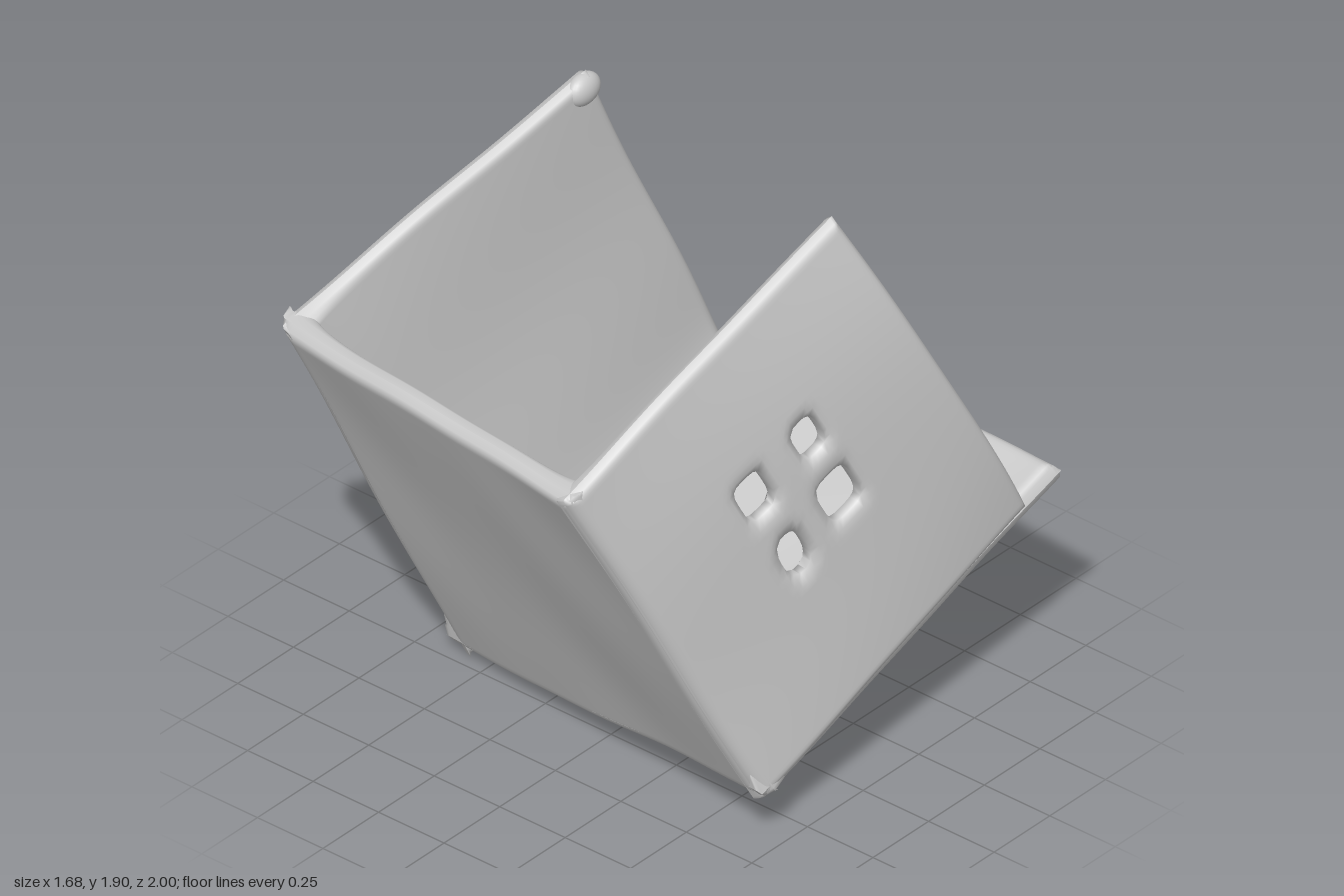
import * as THREE from 'three';

const N = 70; // grid cells along each panel side
const V = (a) => new THREE.Vector3(...a);

// Grid spacing that is finer towards the panel rims
const ease = (t) => 0.45 * t + 0.55 * (1 - Math.cos(Math.PI * t)) / 2;

// Gentle hand-made unevenness, the same for every panel so the joints agree
function wobble(p) {
  const { x, y, z } = p;
  p.x += 0.004 * Math.sin(5 * y + 4 * z);
  p.y += 0.004 * Math.sin(6 * x - 5 * z + 1) + 0.002 * Math.sin(13 * z + 11 * x);
  p.z += 0.004 * Math.sin(5 * x + 6 * y + 2);
  return p;
}

// Distance measure to a soft-cornered hole: 1 on its rim
function holeNorm(h, u, v) {
  const p = h.p ?? 2;
  return (Math.abs((u - h.u) / h.a) ** p + Math.abs((v - h.v) / h.b) ** p) ** (1 / p);
}

// Height of a quarter-round edge of radius r at distance d from the rim
const quarter = (d, r) => Math.sqrt(Math.max(0, r * r - Math.max(0, r - d) ** 2));

// Slab with rounded rims. corners: outer face, counter-clockwise from outside.
// joints: sides (u0, u1, v0, v1) that meet another panel, as [inner fillet, outer radius].
function panel(name, corners, { thick, joints, holes = [], bulge = 0 }) {
  const [c00, c10, c11, c01] = corners.map(V);
  const du = c10.clone().sub(c00).add(c11).sub(c01).multiplyScalar(0.5);
  const dv = c01.clone().sub(c00).add(c11).sub(c10).multiplyScalar(0.5);
  const out = du.clone().cross(dv).normalize();
  const lu = du.length(), lv = dv.length(), half = thick / 2;

  const kept = (i, j) => {
    if (i < 0 || j < 0 || i >= N || j >= N) return false;
    const u = ease((i + 0.5) / N), v = ease((j + 0.5) / N);
    return holes.every((h) => holeNorm(h, u, v) > 1);
  };

  const pos = [], idx = [];
  const W = N + 1, inner = W * W;
  const outerPts = [], innerPts = [];
  for (let j = 0; j <= N; j++) for (let i = 0; i <= N; i++) {
    let u = ease(i / N), v = ease(j / N), rim = 1;
    // pull grid points beside a hole onto its rim and thin the slab there
    const around = [kept(i - 1, j - 1), kept(i, j - 1), kept(i - 1, j), kept(i, j)];
    const inside = i > 0 && j > 0 && i < N && j < N;
    for (const h of holes) {
      let n = holeNorm(h, u, v);
      if (n > 2) continue;
      if (inside && around.includes(true) && around.includes(false)) {
        u = h.u + (u - h.u) / n;
        v = h.v + (v - h.v) / n;
        n = 1;
      }
      rim = Math.min(rim, 0.6 + 0.4 * Math.sqrt(Math.min(1, Math.max(0, (n - 1) * 2))));
    }
    const dist = { u0: u * lu, u1: (1 - u) * lu, v0: v * lv, v1: (1 - v) * lv };
    const d = Math.min(...Object.values(dist), half);
    const h = quarter(d, half) * rim;
    let outerDepth = half - h, fillet = 0;
    for (const s in joints) {
      const [height, radius] = joints[s];
      fillet += height * Math.exp(-dist[s] / 0.09);
      outerDepth = Math.max(outerDepth, radius - quarter(dist[s], radius));
    }
    const innerDepth = Math.max(outerDepth, half + h + fillet * d / half);

    const p = c00.clone().multiplyScalar((1 - u) * (1 - v))
      .addScaledVector(c10, u * (1 - v))
      .addScaledVector(c11, u * v)
      .addScaledVector(c01, (1 - u) * v)
      .addScaledVector(out, bulge * u * Math.sin(Math.PI * v));
    wobble(p);
    outerPts.push(p.clone().addScaledVector(out, -outerDepth));
    innerPts.push(p.clone().addScaledVector(out, -innerDepth));
  }
  for (const p of [...outerPts, ...innerPts]) pos.push(p.x, p.y, p.z);

  for (let j = 0; j < N; j++) for (let i = 0; i < N; i++) {
    if (!kept(i, j)) continue;
    const a = j * W + i, b = a + 1, c = b + W, e = a + W;
    idx.push(a, b, c, a, c, e);
    idx.push(inner + a, inner + c, inner + b, inner + a, inner + e, inner + c);
    // close the slab along its outline and inside the holes
    const sides = [[a, b, i, j - 1], [b, c, i + 1, j], [c, e, i, j + 1], [e, a, i - 1, j]];
    for (const [s, t, ni, nj] of sides) {
      if (!kept(ni, nj)) idx.push(t, s, inner + s, t, inner + s, inner + t);
    }
  }
  const g = new THREE.BufferGeometry();
  g.setAttribute('position', new THREE.Float32BufferAttribute(pos, 3));
  g.setIndex(idx);
  g.computeVertexNormals();
  const mesh = new THREE.Mesh(g, new THREE.MeshStandardMaterial({ color: 0xcccccc }));
  mesh.name = name;
  return mesh;
}

export function createModel() {
  const model = new THREE.Group();
  model.name = 'tiltedOpenBox';

  // Shared outer corners of the tilted box
  const frontTopR = [-0.855, 1.315, 0.77], frontTopL = [0.475, 1.37, 1.0];
  const frontLowR = [-0.65, -0.02, 0.2], frontLowL = [0.72, 0.135, 0.41];

  // Front wall
  model.add(panel('frontWall', [frontLowR, frontLowL, frontTopL, frontTopR],
    { thick: 0.075, joints: { u0: [0.06, 0.08], u1: [0.06, 0.05], v0: [0.13, 0.06] } }));

  // Left wall with a window of four openings
  model.add(panel('windowWall',
    [frontLowL, [0.83, 0.68, -0.65], [0.61, 1.9, -0.05], frontTopL], {
      thick: 0.06, joints: { u0: [0.06, 0.05], v0: [0.03, 0.035] }, bulge: 0.065,
      holes: [
        { u: 0.415, v: 0.635, a: 0.05, b: 0.054, p: 4 },
        { u: 0.615, v: 0.646, a: 0.042, b: 0.048, p: 3.5 },
        { u: 0.6, v: 0.467, a: 0.056, b: 0.06, p: 4 },
        { u: 0.42, v: 0.437, a: 0.042, b: 0.058, p: 2.5 },
      ],
    }));

  // Plain right wall
  model.add(panel('plainWall',
    [[-0.575, 0.56, -0.89], frontLowR, frontTopR, [-0.635, 1.75, -0.35]],
    { thick: 0.06, joints: { u1: [0.06, 0.08], v0: [0.03, 0.04] } }));

  // Floor with two drain holes
  model.add(panel('floor',
    [[-0.52, 0.55, -1.02], [0.815, 0.69, -0.83], frontLowL, frontLowR], {
      thick: 0.07, joints: { u0: [0.03, 0.04], u1: [0.01, 0.035], v1: [0.14, 0.06] },
      holes: [
        { u: 0.113, v: 0.57, a: 0.04, b: 0.043 },
        { u: 0.183, v: 0.845, a: 0.056, b: 0.05 },
      ],
    }));

  // Curled lump on the rear top corner of the plain wall
  const lump = new THREE.Mesh(new THREE.SphereGeometry(0.055, 24, 16),
    new THREE.MeshStandardMaterial({ color: 0xcccccc }));
  lump.name = 'cornerLump';
  lump.scale.set(0.7, 0.95, 1.2);
  lump.position.set(-0.6, 1.69, -0.33);
  model.add(lump);

  return model;
}
